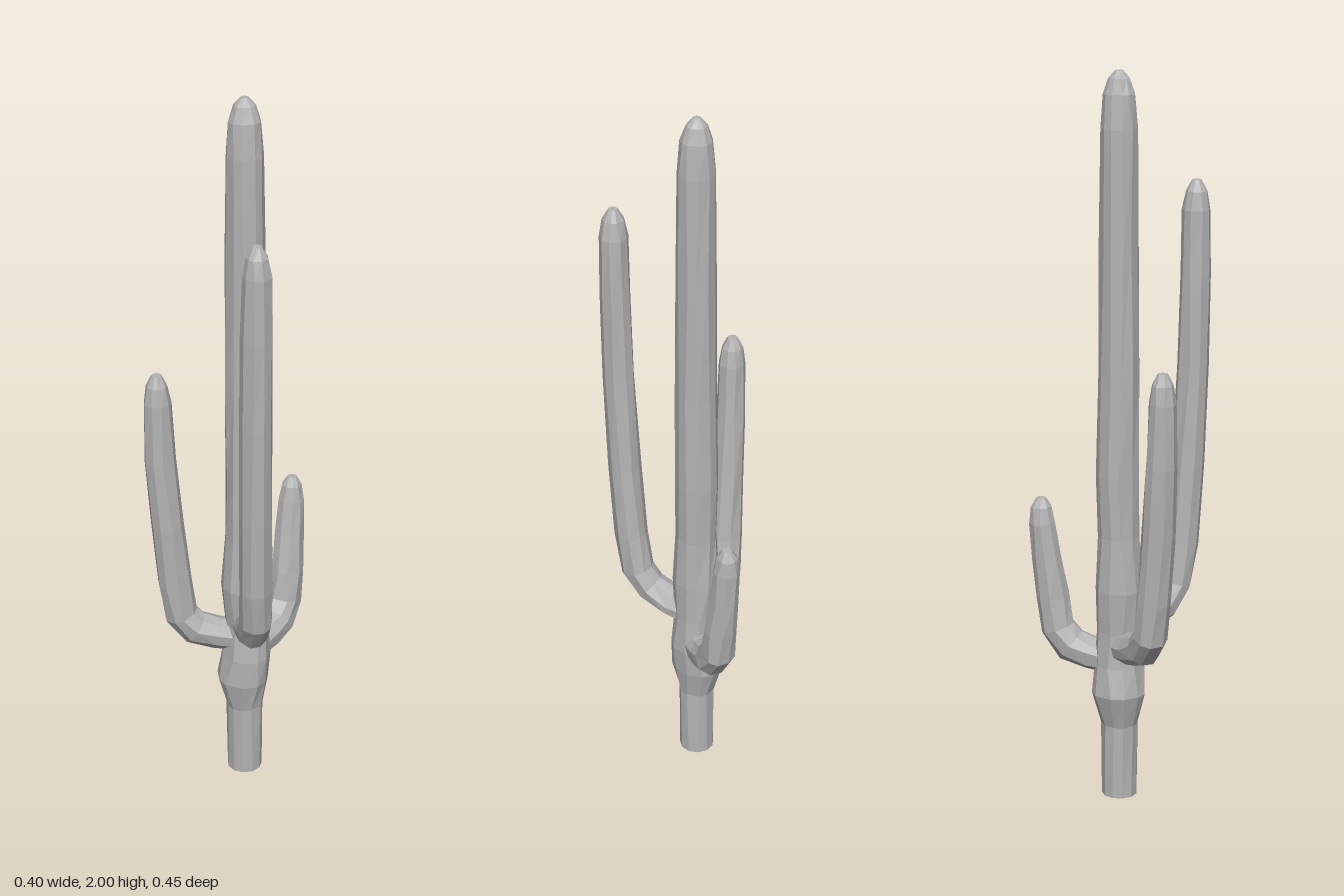
import * as THREE from 'three';

// Small repeatable noise generator
function seeded(seed) {
  let s = seed;
  return () => {
    s = (s * 16807) % 2147483647;
    return s / 2147483647 - 0.5;
  };
}

// Faceted stem: rings of slightly uneven corners swept along [x, y, z, radius] stations
function stemGeometry(stations, sides, rough, seed) {
  const rnd = seeded(seed);
  const centres = stations.map(s => new THREE.Vector3(s[0], s[1], s[2]));
  const pos = [], index = [];
  const tangent = i => centres[Math.min(i + 1, centres.length - 1)].clone()
    .sub(centres[Math.max(i - 1, 0)]).normalize();
  const t0 = tangent(0);
  let u = new THREE.Vector3(0, 0, 1);
  if (Math.abs(t0.y) < 0.9) u.set(0, 1, 0);
  centres.forEach((c, i) => {
    const t = i === 0 && Math.abs(t0.y) > 0.9 ? new THREE.Vector3(0, 1, 0) : tangent(i);
    u = u.clone().addScaledVector(t, -u.dot(t)).normalize();
    const v = new THREE.Vector3().crossVectors(t, u);
    const r = stations[i][3];
    const wobble = i === 0 ? 0 : rough;
    for (let j = 0; j < sides; j++) {
      const a = (j / sides) * Math.PI * 2 + rnd() * wobble * 3;
      const k = r * (1 + rnd() * wobble);
      const p = c.clone().addScaledVector(u, Math.cos(a) * k).addScaledVector(v, Math.sin(a) * k);
      pos.push(p.x, p.y, p.z);
    }
  });
  for (let i = 0; i < centres.length - 1; i++) {
    for (let j = 0; j < sides; j++) {
      const a = i * sides + j, b = i * sides + (j + 1) % sides;
      index.push(a, b, b + sides, a, b + sides, a + sides);
    }
  }
  // Close both ends
  const last = (centres.length - 1) * sides;
  const lo = pos.length / 3, hi = lo + 1;
  const end = centres[centres.length - 1];
  pos.push(...centres[0].toArray(), ...end.toArray());
  for (let j = 0; j < sides; j++) {
    const n = (j + 1) % sides;
    index.push(lo, n, j, hi, last + j, last + n);
  }
  const g = new THREE.BufferGeometry();
  g.setAttribute('position', new THREE.Float32BufferAttribute(pos, 3));
  g.setIndex(index);
  const flat = g.toNonIndexed();
  flat.computeVertexNormals();
  return flat;
}

export function createModel() {
  const group = new THREE.Group();
  group.name = 'cactus';
  const skin = new THREE.MeshStandardMaterial({ color: 0xb4b4b4, flatShading: true });
  skin.name = 'cactus grey';

  const add = (name, stations, sides, rough, seed) => {
    const mesh = new THREE.Mesh(stemGeometry(stations, sides, rough, seed), skin);
    mesh.name = name;
    group.add(mesh);
  };

  // Main stem, swollen where the arms branch off
  add('trunk', [
    [-0.002, 0, 0.025, 0.049], [-0.002, 0.21, 0.025, 0.051],
    [-0.007, 0.3, 0.025, 0.073], [0.005, 0.38, 0.022, 0.068],
    [0.002, 0.48, 0.02, 0.06], [0, 0.6, 0.025, 0.066],
    [0, 0.75, 0.022, 0.057], [0, 0.92, 0.018, 0.058],
    [0, 1.2, 0.022, 0.055], [0, 1.55, 0.022, 0.053],
    [0, 1.85, 0.022, 0.049], [-0.001, 1.94, 0.022, 0.042],
    [-0.002, 1.98, 0.022, 0.028], [-0.002, 2, 0.022, 0.01],
  ], 11, 0.07, 11);

  // Tall arm at the front left
  add('leftArm', [
    [0.015, 0.485, 0.035, 0.044], [0.055, 0.5, 0.072, 0.046],
    [0.1, 0.53, 0.12, 0.046], [0.13, 0.585, 0.145, 0.046],
    [0.142, 0.7, 0.16, 0.046], [0.152, 0.92, 0.174, 0.045],
    [0.159, 1.2, 0.184, 0.043], [0.164, 1.45, 0.188, 0.041],
    [0.165, 1.62, 0.188, 0.038], [0.165, 1.67, 0.188, 0.029],
    [0.165, 1.7, 0.188, 0.012],
  ], 9, 0.08, 23);

  // Middle arm at the front right
  add('rightArm', [
    [-0.01, 0.435, 0.03, 0.044], [-0.055, 0.448, 0.075, 0.046],
    [-0.1, 0.47, 0.12, 0.048], [-0.13, 0.515, 0.145, 0.048],
    [-0.14, 0.62, 0.158, 0.046], [-0.15, 0.8, 0.172, 0.045],
    [-0.161, 1, 0.183, 0.042], [-0.166, 1.17, 0.186, 0.037],
    [-0.167, 1.22, 0.186, 0.029], [-0.167, 1.25, 0.186, 0.014],
  ], 9, 0.08, 37);

  // Short arm at the back
  add('backArm', [
    [0.006, 0.395, 0, 0.045], [0.006, 0.402, -0.06, 0.047],
    [0.005, 0.422, -0.115, 0.05], [0.003, 0.47, -0.153, 0.048],
    [0.001, 0.56, -0.166, 0.046], [-0.002, 0.67, -0.181, 0.041],
    [-0.005, 0.77, -0.193, 0.036], [-0.005, 0.815, -0.196, 0.028],
    [-0.005, 0.84, -0.197, 0.013],
  ], 9, 0.08, 53);

  return group;
}
